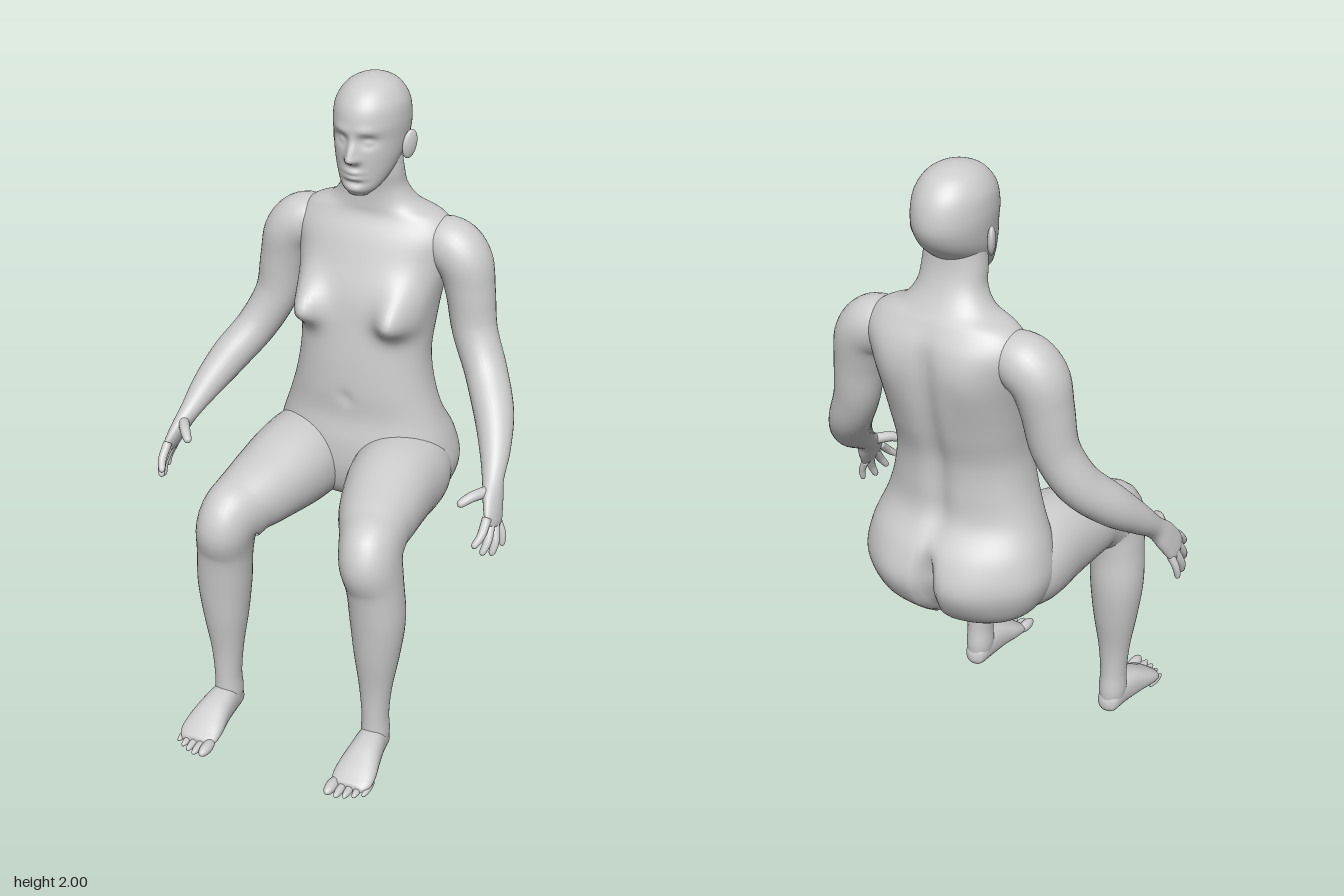
import * as THREE from 'three';

const skin = new THREE.MeshStandardMaterial({ color: 0xcccccc });
skin.name = 'plainGrey';

// Smooth loft through sections [x, y, z, radiusA, radiusB]; radiusA lies along ref.
// axis fixes the ring direction, otherwise rings follow the path. deform moves each vertex.
function loft(name, sections, { ref = [1, 0, 0], axis, seg = 32, steps = 6, power = 2, deform } = {}) {
  const path = new THREE.CatmullRomCurve3(sections.map(s => new THREE.Vector3(s[0], s[1], s[2])), false, 'catmullrom');
  const radii = new THREE.CatmullRomCurve3(sections.map(s => new THREE.Vector3(s[3], s[4], 0)), false, 'catmullrom');
  const rows = (sections.length - 1) * steps;
  const refV = new THREE.Vector3(...ref);
  const pos = [], index = [];
  const curve = (v) => Math.sign(v) * Math.abs(v) ** (2 / power);
  for (let i = 0; i <= rows; i++) {
    const c = path.getPoint(i / rows), r = radii.getPoint(i / rows);
    const t = axis ? new THREE.Vector3(...axis) : path.getTangent(i / rows);
    const a = refV.clone().addScaledVector(t, -refV.dot(t)).normalize();
    const b = t.clone().cross(a);
    for (let j = 0; j < seg; j++) {
      const ang = (j / seg) * Math.PI * 2;
      const p = c.clone()
        .addScaledVector(a, curve(Math.cos(ang)) * Math.max(r.x, 0.002))
        .addScaledVector(b, curve(Math.sin(ang)) * Math.max(r.y, 0.002));
      if (deform) deform(p, c);
      pos.push(p.x, p.y, p.z);
      if (i < rows) {
        const k = i * seg + j, n = i * seg + (j + 1) % seg;
        index.push(k, n, k + seg, n, n + seg, k + seg);
      }
    }
  }
  // End caps
  const first = path.getPoint(0), last = path.getPoint(1), top = rows * seg, mid = (rows + 1) * seg;
  pos.push(first.x, first.y, first.z, last.x, last.y, last.z);
  for (let j = 0; j < seg; j++) {
    const n = (j + 1) % seg;
    index.push(mid, n, j, mid + 1, top + j, top + n);
  }
  const g = new THREE.BufferGeometry();
  g.setAttribute('position', new THREE.Float32BufferAttribute(pos, 3));
  g.setIndex(index);
  g.computeVertexNormals();
  const mesh = new THREE.Mesh(g, skin);
  mesh.name = name;
  return mesh;
}

function ellipsoid(name, center, scale, rotation = [0, 0, 0]) {
  const m = new THREE.Mesh(new THREE.SphereGeometry(1, 24, 16), skin);
  m.name = name;
  m.position.set(...center);
  m.scale.set(...scale);
  m.rotation.set(...rotation);
  return m;
}

const bell = (d, w) => Math.exp(-(d / w) * (d / w));
const ramp = THREE.MathUtils.smoothstep;

// Chest, shoulder blades, spine and seat
function shapeTorso(p, c) {
  const ax = Math.abs(p.x), y = p.y;
  if (p.z > c.z) {
    const f = ramp(p.z - c.z, 0, 0.07);
    p.z += 0.088 * f * bell(ax - 0.15, 0.058) * bell(y - 1.295, y > 1.295 ? 0.085 : 0.05);
    p.z -= 0.008 * f * bell(p.x, 0.02) * bell(y - 1.03, 0.02);
  } else {
    const f = ramp(c.z - p.z, 0, 0.08);
    p.z += 0.018 * f * bell(p.x, 0.035) * ramp(y, 0.85, 1.0) * (1 - ramp(y, 1.45, 1.6));
    p.z += 0.06 * f * bell(p.x, 0.022) * (1 - ramp(y, 0.78, 0.92));
    p.z -= 0.012 * f * bell(ax - 0.13, 0.06) * bell(y - 1.43, 0.1);
    p.z -= 0.015 * f * bell(ax - 0.12, 0.08) * bell(y - 0.76, 0.1);
  }
}

// Nose, eyes, brow, lips and chin
function shapeFace(p, c) {
  const ax = Math.abs(p.x), y = p.y;
  if (p.z < c.z) return;
  const f = ramp(p.z - c.z, 0, 0.07);
  p.z += f * (
    0.034 * bell(p.x, 0.016) * bell(y - 1.785, y > 1.785 ? 0.042 : 0.014)
    + 0.01 * bell(ax - 0.014, 0.012) * bell(y - 1.782, 0.012)
    - 0.016 * bell(ax - 0.042, 0.024) * bell(y - 1.835, 0.018)
    + 0.009 * bell(ax - 0.042, 0.014) * bell(y - 1.832, 0.009)
    + 0.005 * bell(ax - 0.04, 0.03) * bell(y - 1.865, 0.014)
    + 0.01 * bell(p.x, 0.028) * (bell(y - 1.742, 0.008) + bell(y - 1.724, 0.008))
    - 0.006 * bell(p.x, 0.03) * bell(y - 1.708, 0.009)
    + 0.006 * bell(p.x, 0.03) * bell(y - 1.685, 0.014));
}

function buildArm(s, side) {
  const g = new THREE.Group();
  g.name = side + 'Arm';
  const flip = list => list.map(([x, ...rest]) => [x * s, ...rest]);
  // Shoulder to palm
  g.add(loft(side + 'ArmAndPalm', flip([
    [0.15, 1.505, -0.335, 0.06, 0.05], [0.23, 1.495, -0.335, 0.085, 0.083],
    [0.285, 1.45, -0.33, 0.088, 0.084], [0.31, 1.36, -0.325, 0.077, 0.075],
    [0.332, 1.24, -0.315, 0.068, 0.069], [0.385, 1.13, -0.28, 0.068, 0.064],
    [0.445, 1.04, -0.2, 0.063, 0.06], [0.485, 0.965, -0.115, 0.047, 0.047],
    [0.508, 0.905, -0.045, 0.034, 0.032], [0.525, 0.86, -0.005, 0.046, 0.025],
    [0.54, 0.815, 0.028, 0.048, 0.018], [0.546, 0.795, 0.04, 0.038, 0.01],
  ]), { ref: [0, 0, 1] }));
  // Fingers from index to little, then the thumb: base, middle, tip
  const digits = [
    ['indexFinger', [0.533, 0.832, 0.062], [0.532, 0.795, 0.1], [0.518, 0.765, 0.132]],
    ['middleFinger', [0.539, 0.818, 0.042], [0.545, 0.77, 0.078], [0.536, 0.73, 0.105]],
    ['ringFinger', [0.543, 0.805, 0.02], [0.556, 0.754, 0.045], [0.552, 0.71, 0.064]],
    ['littleFinger', [0.545, 0.795, -0.002], [0.562, 0.757, 0.003], [0.566, 0.718, 0.01]],
    ['thumb', [0.512, 0.885, -0.005], [0.478, 0.882, 0.045], [0.447, 0.864, 0.082]],
  ];
  for (const [name, base, mid, tip] of digits) {
    const r = name === 'thumb' ? 0.016 : name === 'littleFinger' ? 0.011 : 0.013;
    const near = tip.map((v, i) => v + (mid[i] - v) * 0.2);
    g.add(loft(side + name[0].toUpperCase() + name.slice(1), flip([
      [...base, r * 1.1, r * 1.1], [...mid, r, r], [...near, r * 0.75, r * 0.75], [...tip, 0.002, 0.002],
    ]), { ref: name === 'thumb' ? [0, 1, 0] : [0, 0, 1], seg: 14 }));
  }
  return g;
}

function buildLeg(s, side) {
  const g = new THREE.Group();
  g.name = side + 'Leg';
  const flip = list => list.map(([x, ...rest]) => [x * s, ...rest]);
  // Hip, knee, calf and ankle
  g.add(loft(side + 'ThighAndShin', flip([
    [0.15, 0.765, -0.34, 0.1, 0.1], [0.163, 0.77, -0.22, 0.14, 0.14],
    [0.17, 0.777, -0.08, 0.14, 0.142], [0.195, 0.765, 0.08, 0.12, 0.117],
    [0.215, 0.75, 0.16, 0.102, 0.107], [0.235, 0.712, 0.222, 0.09, 0.117],
    [0.25, 0.62, 0.222, 0.084, 0.093], [0.258, 0.5, 0.215, 0.083, 0.086],
    [0.257, 0.38, 0.215, 0.07, 0.073], [0.255, 0.25, 0.217, 0.05, 0.052],
    [0.255, 0.15, 0.217, 0.041, 0.047], [0.255, 0.08, 0.215, 0.043, 0.05],
    [0.255, 0.03, 0.215, 0.035, 0.045],
  ]), { seg: 40, power: 2.1 }));
  g.add(loft(side + 'Foot', flip([
    [0.255, 0.035, 0.163, 0.012, 0.012], [0.255, 0.042, 0.18, 0.034, 0.036],
    [0.256, 0.056, 0.24, 0.044, 0.054], [0.26, 0.05, 0.31, 0.054, 0.049],
    [0.262, 0.036, 0.37, 0.064, 0.035], [0.262, 0.025, 0.41, 0.063, 0.022],
    [0.258, 0.019, 0.435, 0.05, 0.013],
  ]), { axis: [0, 0, 1], power: 2.3 }));
  // Toes from big to little
  [0.489, 0.487, 0.478, 0.464, 0.446].forEach((tip, i) => {
    const r = i === 0 ? 0.018 : 0.0135 - i * 0.0007;
    g.add(ellipsoid(side + 'Toe' + (i + 1), [s * (0.214 + i * 0.0245 + (i ? 0.004 : 0)), r + 0.001, tip - 0.042], [r, r, 0.042]));
  });
  return g;
}

export function createModel() {
  const model = new THREE.Group();
  model.name = 'seatedFigure';

  model.add(loft('torsoAndNeck', [
    [0, 0.615, -0.32, 0.12, 0.06], [0, 0.65, -0.3, 0.22, 0.125], [0, 0.7, -0.29, 0.27, 0.175],
    [0, 0.78, -0.29, 0.295, 0.2], [0, 0.87, -0.28, 0.28, 0.19], [0, 0.96, -0.26, 0.247, 0.155],
    [0, 1.05, -0.255, 0.22, 0.152], [0, 1.15, -0.26, 0.205, 0.152], [0, 1.25, -0.28, 0.21, 0.16],
    [0, 1.35, -0.3, 0.222, 0.163], [0, 1.45, -0.325, 0.24, 0.15], [0, 1.52, -0.335, 0.25, 0.13],
    [0, 1.575, -0.335, 0.215, 0.1], [0, 1.61, -0.325, 0.14, 0.086], [0, 1.66, -0.31, 0.103, 0.073],
    [0, 1.72, -0.295, 0.095, 0.07], [0, 1.8, -0.29, 0.085, 0.07],
  ], { axis: [0, 1, 0], seg: 96, power: 2.2, deform: shapeTorso }));

  model.add(loft('head', [
    [0, 1.665, -0.195, 0.03, 0.026], [0, 1.69, -0.215, 0.058, 0.06], [0, 1.73, -0.245, 0.081, 0.093],
    [0, 1.78, -0.275, 0.098, 0.127], [0, 1.83, -0.29, 0.106, 0.143], [0, 1.88, -0.29, 0.109, 0.145],
    [0, 1.93, -0.288, 0.102, 0.13], [0, 1.97, -0.288, 0.077, 0.096], [0, 1.992, -0.288, 0.042, 0.052],
    [0, 2.0, -0.288, 0.004, 0.004],
  ], { axis: [0, 1, 0], seg: 120, steps: 9, deform: shapeFace }));

  for (const [s, side] of [[1, 'left'], [-1, 'right']]) {
    model.add(ellipsoid(side + 'Ear', [s * 0.116, 1.8, -0.295], [0.012, 0.044, 0.026], [-0.2, s * -0.45, s * -0.12]));
    model.add(buildArm(s, side), buildLeg(s, side));
  }
  return model;
}
